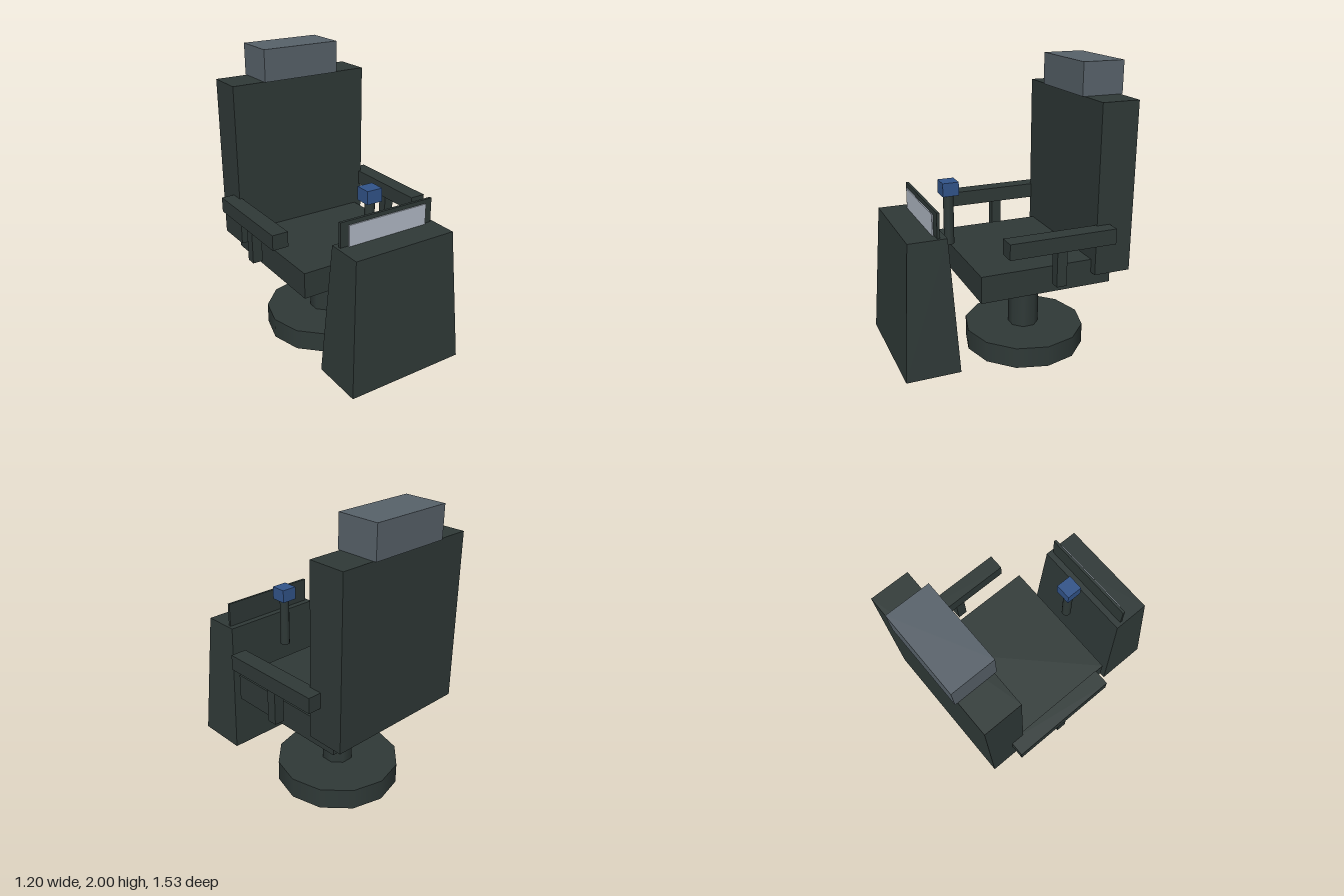
import * as THREE from 'three';

const material = (name, color) => {
  const m = new THREE.MeshStandardMaterial({ color });
  m.name = name;
  return m;
};

export function createModel() {
  const group = new THREE.Group();
  const dark = material('dark green grey', 0x2f3937);
  const grey = material('headrest grey', 0x58626a);
  const blue = material('control blue', 0x32548a);
  const pale = material('screen pale grey', 0xb2bac6);

  const add = (name, geometry, mat) => {
    const mesh = new THREE.Mesh(geometry, mat);
    mesh.name = name;
    group.add(mesh);
    return mesh;
  };
  // Box given by its lower and upper limits on each axis
  const box = (name, mat, [x0, x1], [y0, y1], [z0, z1]) => {
    const mesh = add(name, new THREE.BoxGeometry(x1 - x0, y1 - y0, z1 - z0), mat);
    mesh.position.set((x0 + x1) / 2, (y0 + y1) / 2, (z0 + z1) / 2);
    return mesh;
  };
  // Upright prism; turn rotates its flats to face the axes
  const column = (name, mat, r, sides, [y0, y1], z, turn = 0) => {
    const mesh = add(name, new THREE.CylinderGeometry(r, r, y1 - y0, sides), mat);
    mesh.position.set(0, (y0 + y1) / 2, z);
    mesh.rotation.y = turn;
  };

  // Pedestal
  column('base', dark, 0.42, 12, [0, 0.145], -0.217);
  column('pedestal', dark, 0.107, 8, [0.145, 0.57], -0.215, Math.PI / 8);

  // Chair
  box('seat', dark, [-0.453, 0.453], [0.57, 0.75], [-0.635, 0.273]);
  box('backrest', dark, [-0.508, 0.508], [0.66, 1.785], [-0.747, -0.492]);
  box('headrest', grey, [-0.28, 0.28], [1.785, 2], [-0.765, -0.477]);

  // Armrests, mirrored
  for (const [side, s] of [['left', 1], ['right', -1]]) {
    const arm = box(side + 'Armrest', dark, [0.49, 0.6], [0.897, 1], [-0.582, 0.145]);
    const post = box(side + 'ArmrestPost', dark, [0.51, 0.58], [0.658, 0.897], [-0.25, -0.182]);
    arm.position.x *= s;
    post.position.x *= s;
  }

  // Control stick
  column('stick', dark, 0.034, 8, [0.82, 1.16], 0.328, Math.PI / 8);
  box('stickKnob', blue, [-0.055, 0.055], [1.16, 1.25], [0.273, 0.381]);

  // Tapered console
  const consoleShape = new THREE.BoxGeometry(0.836, 0.905, 0.363);
  const p = consoleShape.attributes.position;
  for (let i = 0; i < p.count; i++) {
    if (p.getY(i) > 0) {
      p.setX(i, Math.sign(p.getX(i)) * 0.364);
      p.setZ(i, Math.sign(p.getZ(i)) * 0.127);
    }
  }
  consoleShape.computeVertexNormals();
  add('console', consoleShape, dark).position.set(0, 0.5475, 0.5825);

  // Console display
  box('screenFrame', dark, [-0.345, 0.345], [0.98, 1.165], [0.498, 0.516]);
  box('screen', pale, [-0.29, 0.29], [0.98, 1.14], [0.522, 0.53]);

  return group;
}
